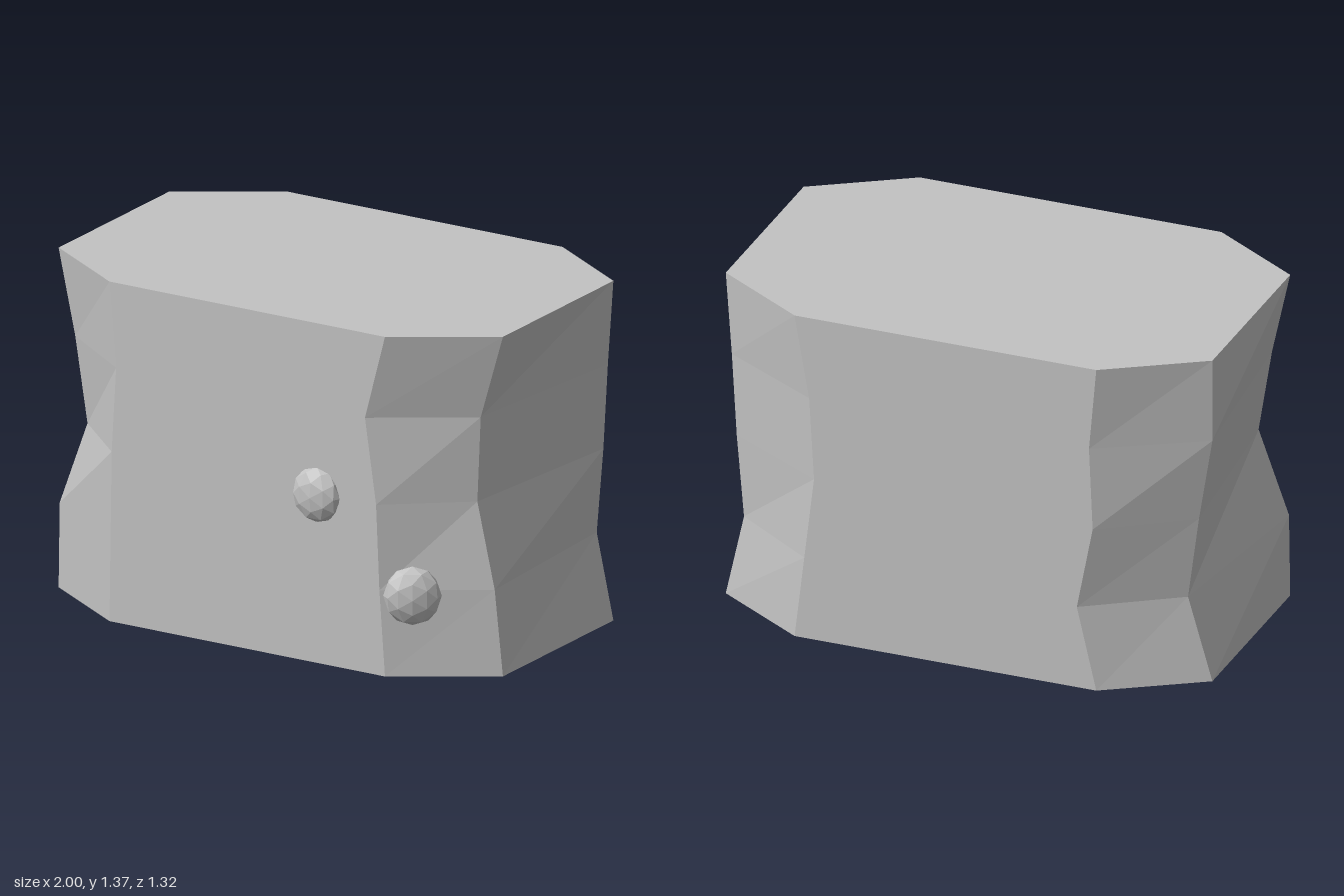
import * as THREE from 'three';

const stone = new THREE.MeshStandardMaterial({ color: 0xc2c2c2 });
stone.name = 'greyStone';

// Vertical edges of the eight-sided block, counter-clockwise from above:
// depth z, then x at each of five evenly spaced heights.
const HEIGHT = 1.365;
const EDGES = [
  { z: 0.61, x: [-0.62, -0.615, -0.61, -0.59, -0.62] },
  { z: 0.61, x: [0.62, 0.595, 0.58, 0.53, 0.62] },
  { z: 0.37, x: [1, 0.963, 0.885, 0.9, 1] },
  { z: -0.42, x: [1, 0.925, 0.955, 0.975, 1] },
  { z: -0.66, x: [0.62, 0.58, 0.54, 0.56, 0.62] },
  { z: -0.66, x: [-0.62, -0.54, -0.605, -0.59, -0.62] },
  { z: -0.42, x: [-1, -0.9, -0.945, -1, -1] },
  { z: 0.37, x: [-1, -0.995, -0.87, -0.925, -1] },
];

function blockGeometry() {
  const n = EDGES.length;
  const levels = EDGES[0].x.length;
  const positions = [];
  const add = (i, l) => {
    const e = EDGES[i % n];
    positions.push(e.x[l], (HEIGHT * l) / (levels - 1), e.z);
  };
  // Walls
  for (let l = 0; l < levels - 1; l++) {
    for (let i = 0; i < n; i++) {
      add(i, l); add(i + 1, l); add(i + 1, l + 1);
      add(i, l); add(i + 1, l + 1); add(i, l + 1);
    }
  }
  // Flat top and bottom
  for (let i = 1; i < n - 1; i++) {
    add(0, levels - 1); add(i, levels - 1); add(i + 1, levels - 1);
    add(0, 0); add(i + 1, 0); add(i, 0);
  }
  const g = new THREE.BufferGeometry();
  g.setAttribute('position', new THREE.Float32BufferAttribute(positions, 3));
  g.computeVertexNormals();
  return g;
}

// Faceted pebble pressed flat against a wall that faces the given angle
function pebble(name, position, radius, depth, angle) {
  const g = new THREE.IcosahedronGeometry(1, 1);
  g.scale(radius, radius * 1.05, depth);
  g.computeVertexNormals();
  const mesh = new THREE.Mesh(g, stone);
  mesh.name = name;
  mesh.position.set(...position);
  mesh.rotation.y = angle;
  return mesh;
}

export function createModel() {
  const group = new THREE.Group();
  group.name = 'rockBlock';

  const block = new THREE.Mesh(blockGeometry(), stone);
  block.name = 'block';
  group.add(block);

  group.add(pebble('frontPebble', [0.312, 0.675, 0.605], 0.106, 0.056, 0));
  group.add(pebble('cornerPebble', [0.705, 0.322, 0.548], 0.112, 0.066, 0.56));
  return group;
}
